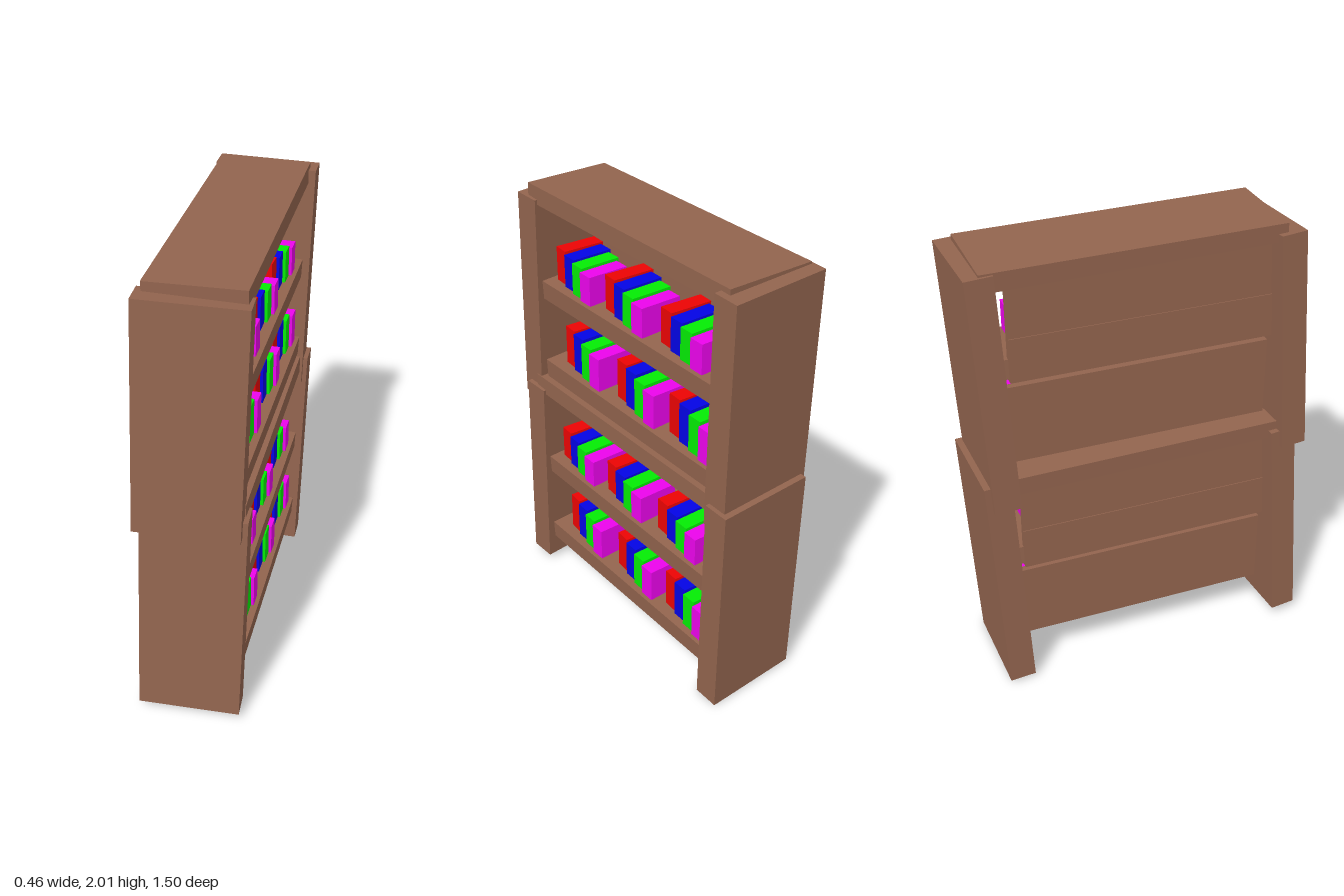
import * as THREE from 'three';

const paint = (color) => new THREE.MeshStandardMaterial({ color, flatShading: true });
const wood = paint(0x92644e);
const covers = [0xec0404, 0x0404e4, 0x04ec04, 0xec04ec].map(paint);

function box(parent, name, size, pos, rot = [0, 0, 0], material = wood) {
  const mesh = new THREE.Mesh(new THREE.BoxGeometry(...size), material);
  mesh.name = name;
  mesh.position.set(...pos);
  mesh.rotation.set(...rot);
  parent.add(mesh);
}

// box given by its x, y and z ranges
function board(parent, name, x0, x1, y0, y1, z0, z1, rot) {
  box(parent, name, [x1 - x0, y1 - y0, z1 - z0],
    [(x0 + x1) / 2, (y0 + y1) / 2, (z0 + z1) / 2], rot);
}

// four books, red to magenta, running towards -z, each standing further out
function bookSet(parent, z, y, heights) {
  const set = new THREE.Group();
  set.name = 'bookSet';
  heights.forEach((h, i) => {
    box(set, 'book', [0.19, h, 0.071], [0.04 + i * 0.013, y + h / 2, z - 0.04 - i * 0.075],
      [0, i === 0 ? -0.06 : -0.01, 0], covers[i]);
  });
  parent.add(set);
}

// one crooked bookcase section, open towards +x
function createSection(name) {
  const section = new THREE.Group();
  section.name = name;

  // leaning side panels
  box(section, 'sidePanel', [0.438, 1.0, 0.116], [0, 1.456, 0.627], [-0.06, 0.07, -0.02]);
  box(section, 'sidePanel', [0.438, 1.045, 0.116], [0, 1.452, -0.662], [-0.047, 0.03, -0.02]);

  // top board
  board(section, 'topBoard', -0.19, 0.206, 1.917, 1.996, -0.68, 0.592, [-0.008, 0.01, 0.015]);

  // recessed back planks
  board(section, 'backPlank', -0.13, -0.1, 1.67, 1.935, -0.565, 0.6);
  board(section, 'backPlank', -0.134, -0.1, 1.477, 1.67, -0.565, 0.6);
  board(section, 'backPlank', -0.13, -0.1, 1.105, 1.457, -0.605, 0.56);

  // shelves, sloping down to the front
  for (const y of [1.475, 1.085]) {
    board(section, 'shelf', -0.12, 0.19, y + 0.008, y + 0.094, -0.61, 0.55, [0, 0, -0.05]);
  }

  // books
  for (const z of [0.515, 0.16, -0.21]) bookSet(section, z, 1.563, [0.157, 0.149, 0.141, 0.131]);
  for (const z of [0.468, 0.087, -0.268]) bookSet(section, z, 1.17, [0.187, 0.182, 0.17, 0.158]);
  return section;
}

export function createModel() {
  const model = new THREE.Group();
  model.name = 'bookcase';
  const lower = createSection('lowerSection');
  lower.position.set(0, -0.926, 0.016);
  model.add(createSection('upperSection'), lower);
  return model;
}
